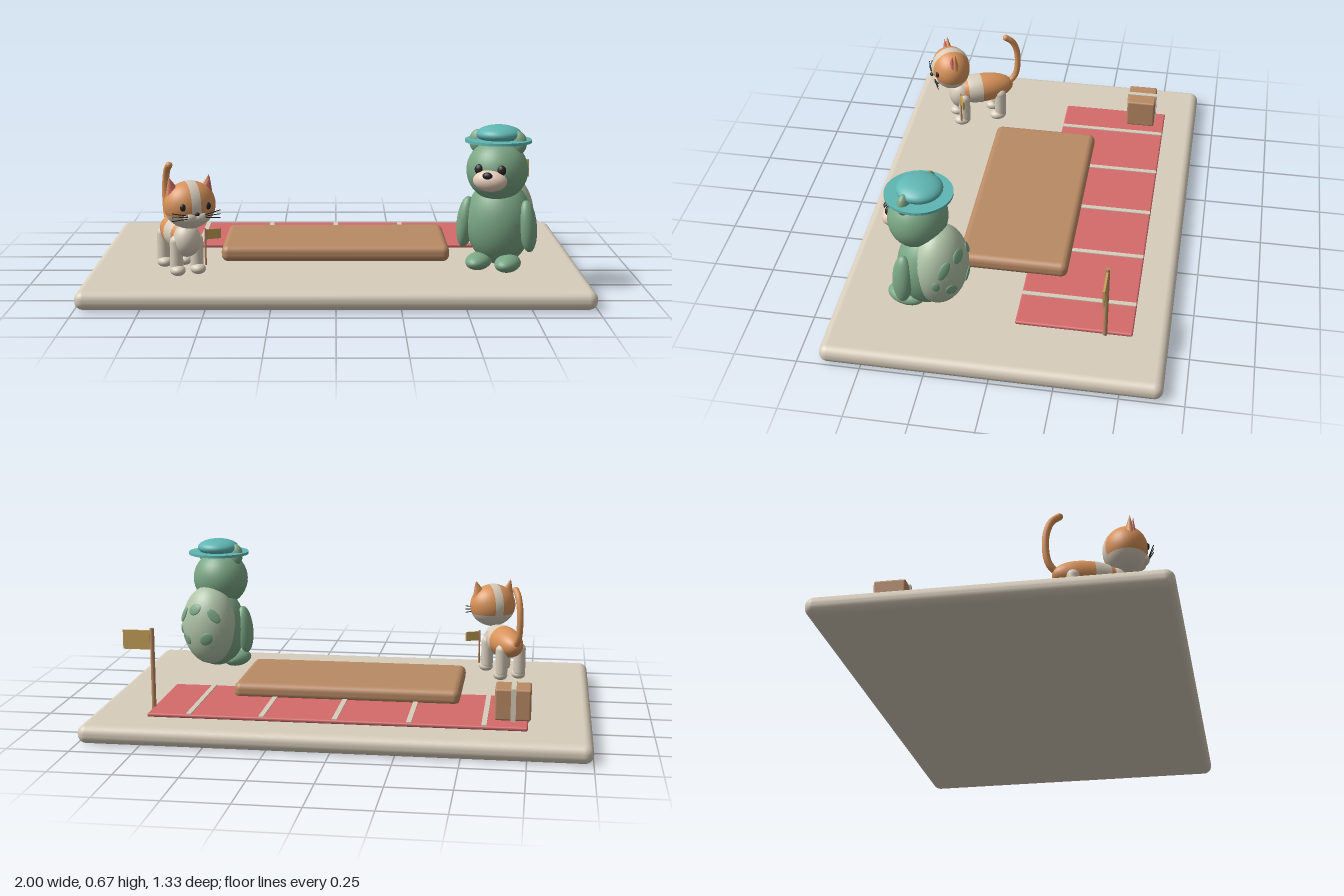
import * as THREE from 'three';
import { RoundedBoxGeometry } from 'three/addons/geometries/RoundedBoxGeometry.js';

const paint = (name, hex) => {
  const m = new THREE.MeshStandardMaterial({ color: hex });
  m.name = name;
  return m;
};

export function createModel() {
  const cream = paint('cream', 0xd8cdbb), red = paint('red', 0xd56a6a), brown = paint('brown', 0xb98a64);
  const orange = paint('orange', 0xd9935a), green = paint('green', 0x7ba785), pale = paint('paleGreen', 0xb0c4a8);
  const teal = paint('teal', 0x5fb6b3), gold = paint('gold', 0xc8a45a), black = paint('black', 0x242424);
  const blush = paint('blush', 0xe6cbb8);

  const model = new THREE.Group();
  model.name = 'playScene';

  const add = (parent, name, geo, mat, pos = [0, 0, 0], rot = [0, 0, 0]) => {
    const m = new THREE.Mesh(geo, mat);
    m.name = name;
    m.position.set(...pos);
    m.rotation.set(...rot);
    parent.add(m);
    return m;
  };
  // Ellipsoid with optional theta range for a band or cap
  const blob = (parent, name, mat, pos, r, rot = [0, 0, 0], t0 = 0, t1 = Math.PI) => {
    const m = add(parent, name, new THREE.SphereGeometry(1, 32, 20, 0, Math.PI * 2, t0, t1 - t0), mat, pos, rot);
    m.scale.set(...r);
    return m;
  };
  const slab = (parent, name, mat, size, radius, pos) =>
    add(parent, name, new RoundedBoxGeometry(...size, 5, radius), mat, pos);
  const rod = (parent, name, mat, a, b, r) => {
    const curve = new THREE.LineCurve3(new THREE.Vector3(...a), new THREE.Vector3(...b));
    const m = add(parent, name, new THREE.CylinderGeometry(r, r, curve.getLength(), 12), mat, curve.getPoint(0.5).toArray());
    m.quaternion.setFromUnitVectors(new THREE.Vector3(0, 1, 0), curve.getTangent(0));
    return m;
  };
  const flag = (parent, name, x, z, y0, y1, r, w, h) => {
    const g = new THREE.Group();
    g.name = name;
    g.position.set(x, 0, z);
    parent.add(g);
    rod(g, 'flagPole', brown, [0, y0, 0], [0, y1, 0], r);
    add(g, 'flagCloth', new THREE.BoxGeometry(w, h, 0.008), gold, [w / 2 + r, y1 - h / 2 - r, 0]);
  };

  // Base, table slab and striped mat
  slab(model, 'base', cream, [2, 0.075, 1.33], 0.035, [0, 0.0375, 0]);
  slab(model, 'table', brown, [0.935, 0.068, 0.45], 0.028, [-0.002, 0.121, -0.004]);
  slab(model, 'mat', red, [1.5, 0.016, 0.46], 0.007, [0, 0.091, -0.295]);
  for (let i = -2; i <= 2; i++)
    add(model, 'matStripe', new THREE.BoxGeometry(0.02, 0.006, 0.455), cream, [i * 0.291, 0.1, -0.295]);

  // Parcel with tape
  slab(model, 'parcel', brown, [0.14, 0.125, 0.125], 0.008, [-0.69, 0.173, -0.418]);
  add(model, 'parcelTape', new THREE.BoxGeometry(0.02, 0.131, 0.133), cream, [-0.692, 0.173, -0.418]);

  flag(model, 'tallFlag', 0.75, -0.418, 0.085, 0.42, 0.009, 0.11, 0.078);

  // Cat
  const cat = new THREE.Group();
  cat.name = 'cat';
  cat.position.set(-0.625, 0, 0.33);
  cat.rotation.y = 0.42;
  model.add(cat);
  const bodyPos = [0, 0.24, -0.01], along = [Math.PI / 2, 0, 0];
  blob(cat, 'catBody', orange, bodyPos, [0.066, 0.145, 0.066], along);
  blob(cat, 'catBodyBand', cream, bodyPos, [0.068, 0.147, 0.068], along, 1.05, 1.52);
  blob(cat, 'catChest', cream, [0, 0.225, 0.09], [0.055, 0.068, 0.055]);
  for (const s of [-1, 1])
    for (const z of [0.085, -0.085]) {
      add(cat, 'catLeg', new THREE.CapsuleGeometry(0.026, 0.1, 6, 16), cream, [s * 0.042, 0.17, z]);
      blob(cat, 'catPaw', cream, [s * 0.042, 0.107, z + 0.012], [0.03, 0.022, 0.037]);
    }
  const tail = new THREE.CatmullRomCurve3([[0.24, -0.13], [0.29, -0.17], [0.4, -0.178], [0.465, -0.155], [0.49, -0.125]]
    .map(([y, z]) => new THREE.Vector3(0, y, z)));
  add(cat, 'catTail', new THREE.TubeGeometry(tail, 24, 0.014, 12), orange);
  blob(cat, 'catTailTip', orange, [0, 0.49, -0.125], [0.014, 0.014, 0.014]);

  // Cat head: orange cap, cream jaw, central stripe
  const headPos = [0, 0.375, 0.135], split = 1.95;
  blob(cat, 'catHeadTop', orange, headPos, [0.103, 0.094, 0.085], [0, 0, 0], 0, split);
  blob(cat, 'catJaw', cream, headPos, [0.103, 0.094, 0.085], [0, 0, 0], split, Math.PI);
  blob(cat, 'catHeadStripe', cream, headPos, [0.095, 0.105, 0.087], [0, 0, Math.PI / 2], Math.PI / 2 - 0.18, Math.PI / 2 + 0.18);
  blob(cat, 'catNose', black, [0, 0.352, 0.225], [0.01, 0.007, 0.008]);
  for (const s of [-1, 1]) {
    blob(cat, 'catCheek', cream, [s * 0.02, 0.335, 0.205], [0.028, 0.021, 0.018]);
    blob(cat, 'catEye', black, [s * 0.05, 0.378, 0.206], [0.012, 0.015, 0.009]);
    const ear = add(cat, 'catEar', new THREE.ConeGeometry(0.034, 0.075, 20), orange, [s * 0.073, 0.452, 0.13], [0, 0, -s * 0.25]);
    ear.scale.z = 0.6;
    const inner = add(cat, 'catInnerEar', new THREE.ConeGeometry(0.025, 0.058, 20), red, [s * 0.074, 0.452, 0.143], [0, 0, -s * 0.25]);
    inner.scale.z = 0.5;
    for (let i = -1; i <= 1; i++)
      rod(cat, 'catWhisker', black, [s * 0.035, 0.341 + i * 0.006, 0.218], [s * 0.098, 0.345 + i * 0.015, 0.215], 0.0018);
  }
  flag(cat, 'smallFlag', 0.071, 0.108, 0.12, 0.268, 0.004, 0.06, 0.04);

  // Bear
  const bear = new THREE.Group();
  bear.name = 'bear';
  bear.position.set(0.655, 0, 0.29);
  bear.rotation.y = -0.38;
  model.add(bear);
  blob(bear, 'bearBody', green, [0, 0.275, 0], [0.135, 0.175, 0.118]);
  const backPos = new THREE.Vector3(0, 0.293, -0.052), backR = new THREE.Vector3(0.127, 0.175, 0.108);
  blob(bear, 'bearBack', pale, backPos.toArray(), backR.toArray());

  // Spots laid along the surface of the pale back
  for (const [a, e, w, h] of [[0.75, 0.3, 0.02, 0.04], [-0.7, 0.35, 0.02, 0.038], [0.1, 0.5, 0.032, 0.024],
    [0.5, -0.3, 0.022, 0.03], [-0.4, -0.25, 0.026, 0.032], [1.05, -0.1, 0.016, 0.022]]) {
    const n = new THREE.Vector3(Math.sin(a) * Math.cos(e), Math.sin(e), -Math.cos(a) * Math.cos(e));
    const p = n.clone().multiply(backR).add(backPos);
    const spot = blob(bear, 'backSpot', green, p.toArray(), [w, h, 0.006]);
    spot.quaternion.setFromUnitVectors(new THREE.Vector3(0, 0, 1), n.divide(backR).normalize());
  }

  blob(bear, 'bearHead', green, [0, 0.49, 0.04], [0.123, 0.122, 0.115]);
  blob(bear, 'bearMuzzle', blush, [0, 0.463, 0.145], [0.068, 0.043, 0.045]);
  blob(bear, 'bearNose', black, [0, 0.488, 0.182], [0.02, 0.014, 0.013]);
  for (const s of [-1, 1]) {
    blob(bear, 'bearEye', black, [s * 0.045, 0.505, 0.142], [0.018, 0.021, 0.014]);
    blob(bear, 'bearEar', green, [s * 0.082, 0.602, 0.04], [0.035, 0.047, 0.024]);
    blob(bear, 'bearArm', green, [s * 0.128, 0.27, 0.035], [0.036, 0.105, 0.042], [0, 0, s * 0.1]);
    blob(bear, 'bearFoot', green, [s * 0.06, 0.122, 0.075], [0.05, 0.034, 0.08]);
  }

  // Hat
  add(bear, 'hatBrim', new THREE.CylinderGeometry(0.132, 0.132, 0.011, 48), teal, [0, 0.607, 0.03]);
  blob(bear, 'hatCrown', teal, [0, 0.632, 0.025], [0.09, 0.037, 0.09]);

  return model;
}
